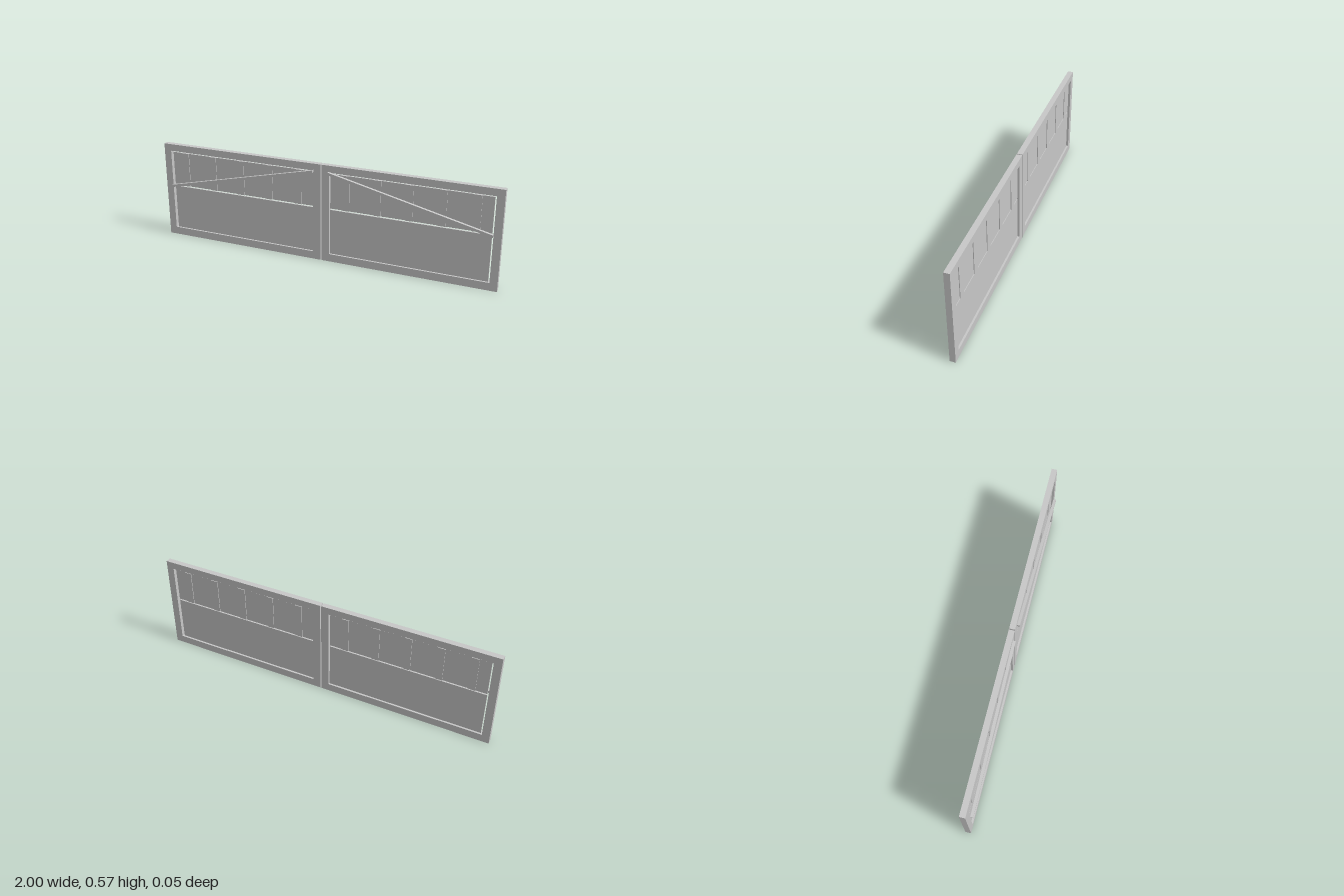
import * as THREE from 'three';

export function createModel() {
  const grey = new THREE.MeshStandardMaterial({ color: 0xc8c8c8 });
  const gate = new THREE.Group();
  gate.name = 'doubleGate';

  // Box between two corners, mirrored to the given side
  const box = (parent, name, side, x0, x1, y0, y1, z0, z1) => {
    const mesh = new THREE.Mesh(new THREE.BoxGeometry(x1 - x0, y1 - y0, z1 - z0), grey);
    mesh.position.set(side * (x0 + x1) / 2, (y0 + y1) / 2, (z0 + z1) / 2);
    mesh.name = name;
    parent.add(mesh);
  };

  const H = 0.57, back = -0.023, front = 0.009;
  const inner = 0.048, outer = 0.957;

  for (const side of [-1, 1]) {
    const leaf = new THREE.Group();
    leaf.name = side > 0 ? 'leftLeaf' : 'rightLeaf';
    gate.add(leaf);

    // Frame
    box(leaf, 'outerStile', side, outer, 1, 0, H, back, front);
    box(leaf, 'innerStile', side, 0.003, inner, 0, H, back, front);
    box(leaf, 'topRail', side, inner, outer, 0.53, H, back, front);
    box(leaf, 'bottomRail', side, inner, outer, 0, 0.045, back, front);

    // Thin infill panels, with narrow gaps to the frame
    const pz0 = -0.012, pz1 = -0.002;
    box(leaf, 'lowerPanel', side, inner + 0.003, outer - 0.009, 0.045, 0.31, pz0, pz1);
    box(leaf, 'upperPanel', side, inner + 0.003, outer - 0.009, 0.318, 0.521, pz0, pz1);

    // Shallow upright battens on both faces of the upper panel
    for (let i = 0; i < 5; i++) {
      const x = 0.142 + i * 0.1805;
      box(leaf, 'batten', side, x - 0.021, x + 0.021, 0.318, 0.521, pz0 - 0.004, pz1 + 0.004);
    }

    // Sloping brace with upright ends
    const shape = new THREE.Shape([
      [0.045, 0.521], [0.957, 0.308], [0.957, 0.322], [0.045, 0.535],
    ].map(([x, y]) => new THREE.Vector2(side * x, y)));
    const brace = new THREE.Mesh(
      new THREE.ExtrudeGeometry(shape, { depth: 0.016, bevelEnabled: false }), grey);
    brace.position.z = front;
    brace.name = 'brace';
    leaf.add(brace);
  }
  return gate;
}
